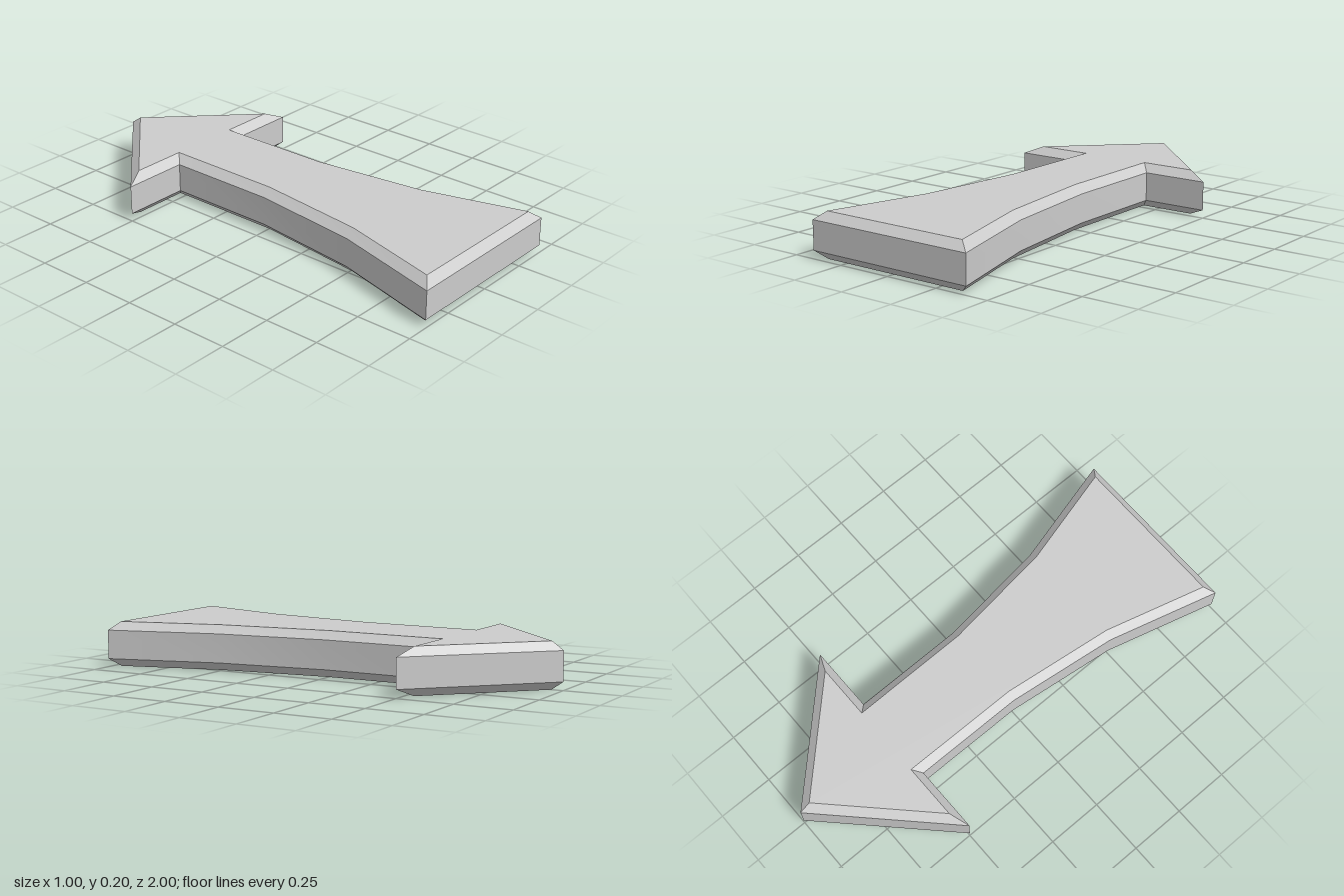
import * as THREE from 'three';
import { toCreasedNormals } from 'three/addons/utils/BufferGeometryUtils.js';

const HEIGHT = 0.2;
const BEVEL = 0.036;

// Left half of the plan outline (x, z), from the tip to the tail.
const HALF = [[0, -1], [0.5, -0.5], [0.2, -0.5], [0.203, 0], [0.265, 0.5], [0.4, 1]];

// Moves every edge of a closed outline inward by d, with true mitred corners.
function inset(points, d) {
  const n = points.length;
  const normal = (i) => {
    const a = points[i % n], b = points[(i + 1) % n];
    return new THREE.Vector2(a.y - b.y, b.x - a.x).normalize();
  };
  return points.map((p, i) => {
    const n1 = normal(i + n - 1), n2 = normal(i);
    const k = d / (1 + n1.dot(n2));
    return p.clone().add(n1.add(n2).multiplyScalar(k));
  });
}

function bevelledPlate(outline) {
  const inner = inset(outline, BEVEL);
  const ring = (pts, y) => pts.map((p) => new THREE.Vector3(p.x, y, p.y));
  const rings = [
    ring(inner, 0), ring(outline, BEVEL),
    ring(outline, HEIGHT - BEVEL), ring(inner, HEIGHT),
  ];
  const verts = [];

  // Lower bevel, wall and upper bevel
  for (let r = 0; r < 3; r++) {
    const low = rings[r], high = rings[r + 1];
    low.forEach((a, i) => {
      const j = (i + 1) % low.length;
      verts.push(a, high[i], high[j], a, high[j], low[j]);
    });
  }

  // Flat underside and top
  for (const [i, j, k] of THREE.ShapeUtils.triangulateShape(inner, [])) {
    const clockwise = THREE.ShapeUtils.area([inner[i], inner[j], inner[k]]) < 0;
    const [b, c] = clockwise ? [j, k] : [k, j];
    verts.push(rings[3][i], rings[3][b], rings[3][c]);
    verts.push(rings[0][i], rings[0][c], rings[0][b]);
  }

  // Sharp bevels, softly shaded bends along the shaft
  return toCreasedNormals(new THREE.BufferGeometry().setFromPoints(verts), 0.45);
}

export function createModel() {
  const grey = new THREE.MeshStandardMaterial({ color: 0xcccccc });
  grey.name = 'light grey';

  // Mirror the half outline; the tip is shared
  const left = HALF.map(([x, z]) => new THREE.Vector2(x, z));
  const right = HALF.slice(1).reverse().map(([x, z]) => new THREE.Vector2(-x, z));

  const arrow = new THREE.Mesh(bevelledPlate([...left, ...right]), grey);
  arrow.name = 'arrow';

  const model = new THREE.Group();
  model.name = 'bevelledArrow';
  model.add(arrow);
  return model;
}
